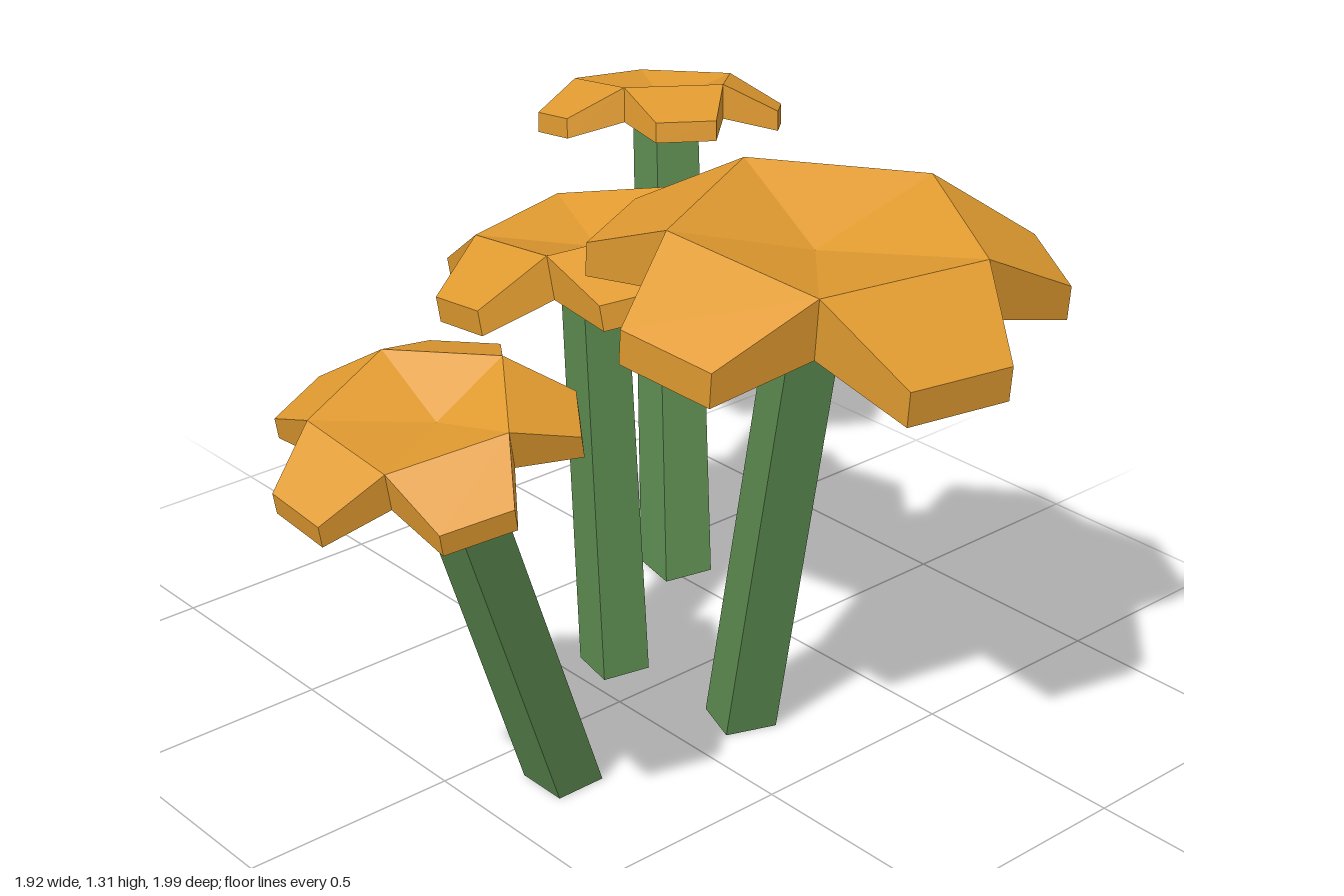
import * as THREE from 'three';

const orange = new THREE.MeshStandardMaterial({ color: 0xe09a30, flatShading: true, side: THREE.DoubleSide });
orange.name = 'cap orange';
const green = new THREE.MeshStandardMaterial({ color: 0x5c8a50, flatShading: true, side: THREE.DoubleSide });
green.name = 'stem green';

const rad = THREE.MathUtils.degToRad;
const DIP = 0.27; // depth of the crown's hollow, as a share of its radius

// Square open stem, cut level at the ground and leaning to its top
function stemGeometry({ base, top, y, r, stemR, stemTurn, taper }) {
  const h = y - DIP * r;
  const g = new THREE.CylinderGeometry(stemR * taper, stemR, h, 4, 1, true);
  g.translate(0, h / 2, 0).rotateY(-rad(stemTurn));
  const p = g.attributes.position;
  for (let i = 0; i < p.count; i++) {
    const t = p.getY(i) / h;
    p.setX(i, p.getX(i) + THREE.MathUtils.lerp(base[0], top[0], t));
    p.setZ(i, p.getZ(i) + THREE.MathUtils.lerp(base[1], top[1], t));
  }
  const flat = g.toNonIndexed();
  flat.computeVertexNormals();
  return flat;
}

// Five-lobed open shell: hollowed pentagon crown, drooping lobes and a rim turned down
function capGeometry({ center, top, r, turn }) {
  const tipR = 1.48 * r, drop = 0.34 * r, half = rad(13.8), step = rad(72);
  const pos = [];
  const tri = (...v) => v.forEach((q) => pos.push(q.x, q.y, q.z));
  const quad = (a, b, c, d) => { tri(a, b, c); tri(a, c, d); };
  const at = (a, d, y) => new THREE.Vector3(Math.cos(a) * d, y, Math.sin(a) * d);
  const below = (v, depth) => new THREE.Vector3(v.x, v.y - depth * r, v.z);
  const apex = new THREE.Vector3(top[0] - center[0], -DIP * r, top[1] - center[1]);
  for (let k = 0; k < 5; k++) {
    const a = rad(turn) + k * step, mid = a + step / 2;
    const v0 = at(a, r, 0), v1 = at(a + step, r, 0);
    const t0 = at(mid - half, tipR, -drop), t1 = at(mid + half, tipR, -drop);
    const lower = [below(v0, 0.4), below(t0, 0.23), below(t1, 0.23), below(v1, 0.4)];
    const upper = [v0, t0, t1, v1];
    // crown and lobe
    tri(apex, v1, v0);
    quad(v0, v1, t1, t0);
    // rim around the lobe
    for (let i = 0; i < 3; i++) quad(upper[i], upper[i + 1], lower[i + 1], lower[i]);
  }
  const g = new THREE.BufferGeometry();
  g.setAttribute('position', new THREE.Float32BufferAttribute(pos, 3));
  g.computeVertexNormals();
  return g;
}

// center, top and base are [x, z]; slope is the rise of the cap along x and z
const plants = [
  { name: 'largePlant', center: [0.482, -0.132], y: 1.276, r: 0.33, turn: -24, slope: [-0.09, -0.03],
    base: [0.227, -0.164], top: [0.43, -0.15], stemR: 0.085, stemTurn: -25, taper: 0.95 },
  { name: 'middlePlant', center: [-0.252, -0.122], y: 1.07, r: 0.248, turn: -12, slope: [0.17, -0.07],
    base: [-0.14, -0.105], top: [-0.245, -0.13], stemR: 0.083, stemTurn: -33, taper: 0.92 },
  { name: 'frontPlant', center: [0.254, 0.722], y: 1.057, r: 0.208, turn: -17.5, slope: [-0.09, -0.22],
    base: [0.155, 0.295], top: [0.26, 0.69], stemR: 0.085, stemTurn: -45, taper: 0.94 },
  { name: 'backPlant', center: [-0.675, -0.706], y: 1.158, r: 0.203, turn: -7, slope: [0.165, 0.13],
    base: [-0.4, -0.53], top: [-0.65, -0.705], stemR: 0.09, stemTurn: -33, taper: 0.9 },
];

export function createModel() {
  const model = new THREE.Group();
  model.name = 'mushroomCluster';
  const up = new THREE.Vector3(0, 1, 0);
  for (const p of plants) {
    const plant = new THREE.Group();
    plant.name = p.name;

    const stem = new THREE.Mesh(stemGeometry(p), green);
    stem.name = 'stem';

    const cap = new THREE.Mesh(capGeometry(p), orange);
    cap.name = 'cap';
    cap.position.set(p.center[0], p.y, p.center[1]);
    const normal = new THREE.Vector3(-p.slope[0], 1, -p.slope[1]).normalize();
    cap.quaternion.setFromUnitVectors(up, normal);

    plant.add(stem, cap);
    model.add(plant);
  }
  return model;
}
